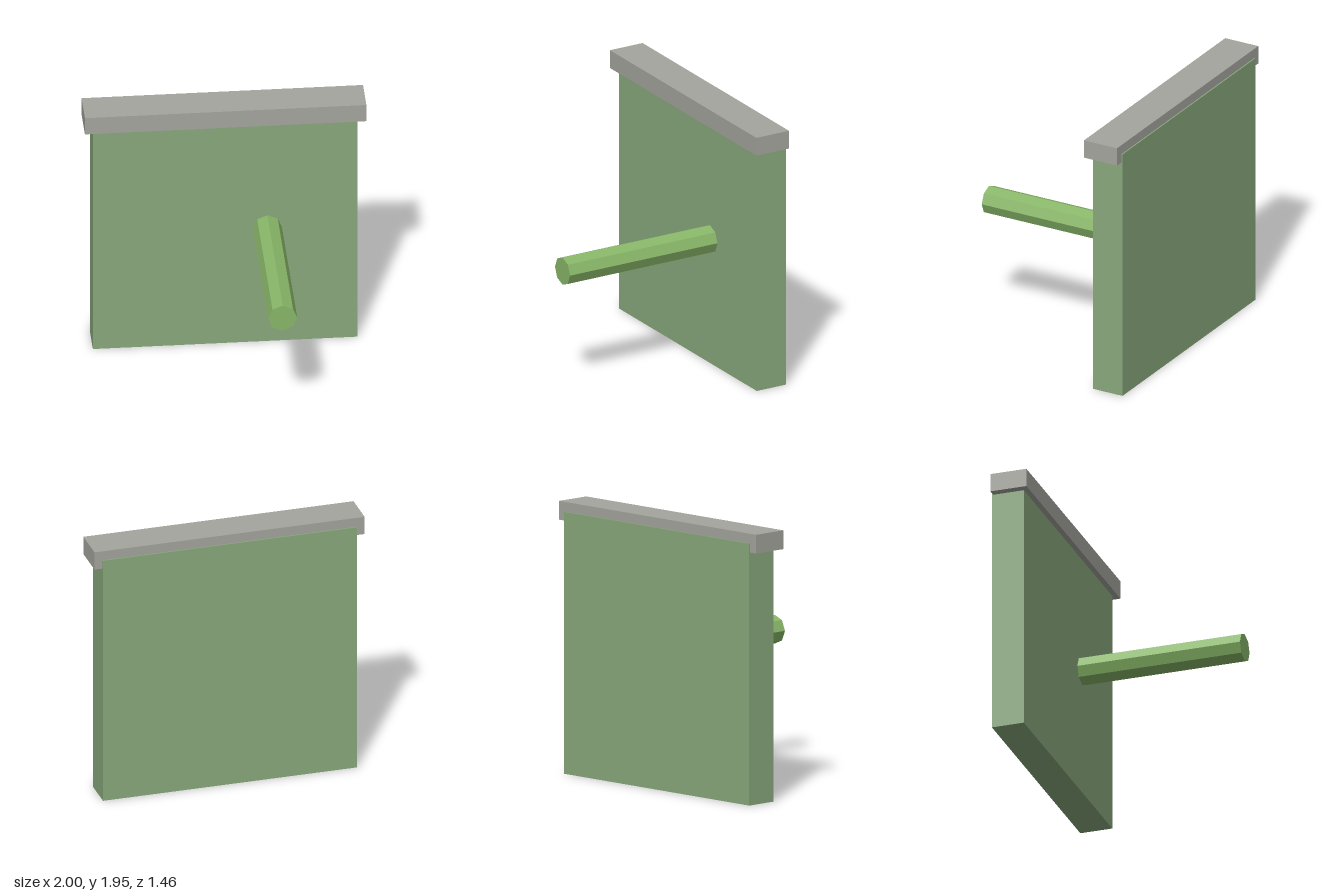
import * as THREE from 'three';

export function createModel() {
  const model = new THREE.Group();

  const add = (name, geometry, color, x, y, z) => {
    const material = new THREE.MeshStandardMaterial({ color, flatShading: true });
    const mesh = new THREE.Mesh(geometry, material);
    mesh.name = name;
    mesh.position.set(x, y, z);
    model.add(mesh);
  };

  // Upright slab
  add('wallPanel', new THREE.BoxGeometry(1.88, 1.88, 0.24), 0x88a87c, 0, 0.94, -0.61);

  // Coping bar, overhanging the front and both ends
  add('topCap', new THREE.BoxGeometry(2, 0.135, 0.27), 0xa5a59e, 0, 1.8825, -0.585);

  // Eight-sided peg standing out from the front face, its root inside the slab
  const peg = new THREE.CylinderGeometry(0.103, 0.103, 1.24, 8).rotateX(Math.PI / 2);
  add('peg', peg, 0x88b668, 0.3, 0.943, 0.11);

  return model;
}
